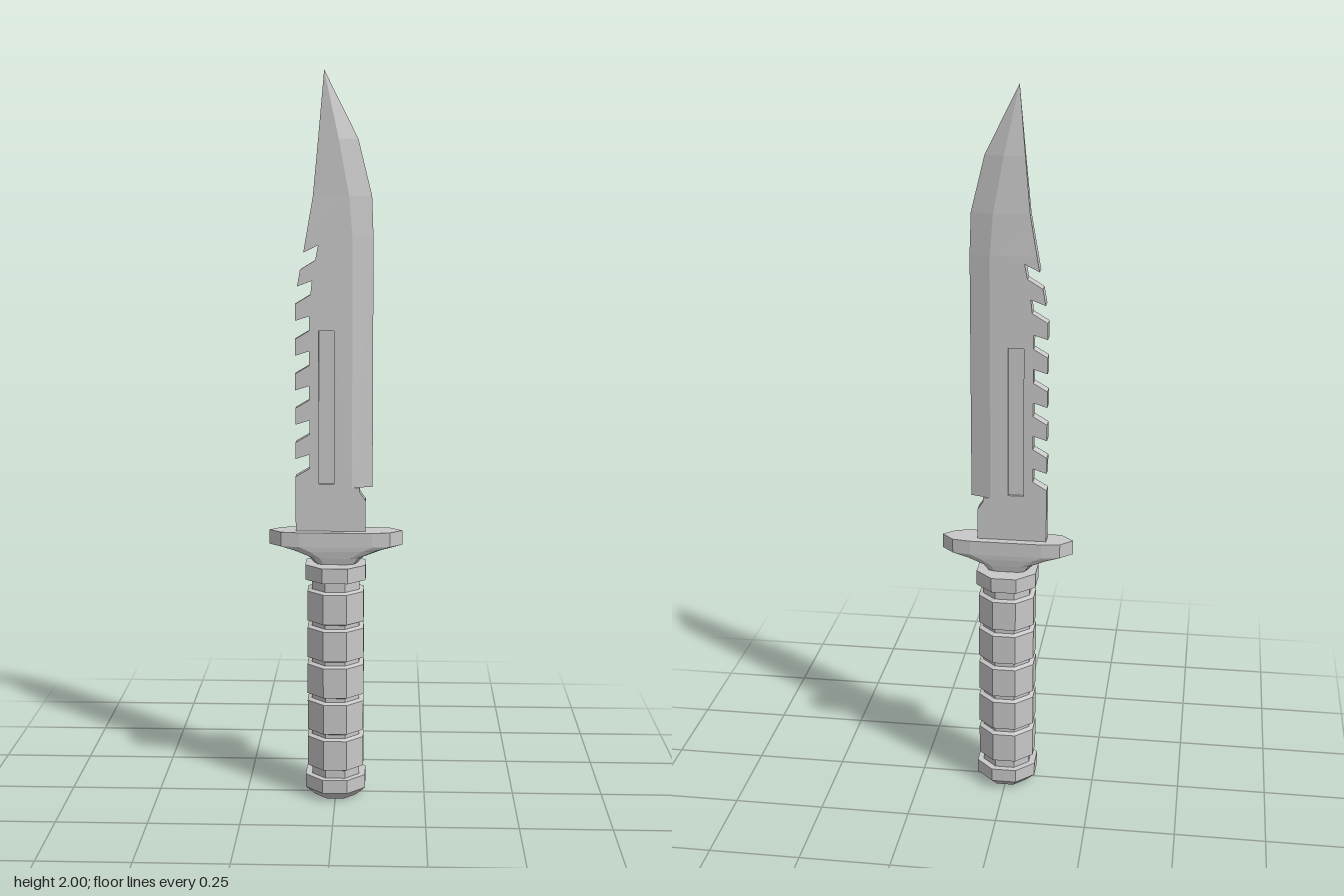
import * as THREE from 'three';

const steel = new THREE.MeshStandardMaterial({ color: 0xc8c8c8, flatShading: true });
steel.name = 'grey steel';

function part(name, geometry) {
  const mesh = new THREE.Mesh(geometry, steel);
  mesh.name = name;
  return mesh;
}

// Joins horizontal rings of [x, z] points, each at its own height, and caps both ends.
function loft(sections) {
  const pos = [], index = [];
  const n = sections[0].ring.length;
  for (const { y, ring } of sections) for (const [x, z] of ring) pos.push(x, y, z);
  for (let i = 0; i < sections.length - 1; i++) {
    for (let j = 0; j < n; j++) {
      const a = i * n + j, b = i * n + (j + 1) % n;
      index.push(a, b, b + n, a, b + n, a + n);
    }
  }
  const top = (sections.length - 1) * n;
  for (let j = 1; j < n - 1; j++) {
    index.push(0, j + 1, j);
    index.push(top, top + j, top + j + 1);
  }
  const g = new THREE.BufferGeometry();
  g.setAttribute('position', new THREE.Float32BufferAttribute(pos, 3));
  g.setIndex(index);
  const flat = g.toNonIndexed();
  flat.computeVertexNormals();
  return flat;
}

export function createModel() {
  const knife = new THREE.Group();
  knife.name = 'survivalKnife';
  const T = 0.018; // half thickness of the blade
  const ridge = 0.045; // where the cutting bevel starts

  // Grip: octagonal rings separated by grooves, with a pommel and a collar
  const grip = [[0, 0], [0.062, 0], [0.09, 0.025], [0.09, 0.063], [0.071, 0.063]];
  for (let i = 0; i < 5; i++) {
    const y = 0.09 + i * 0.1045;
    grip.push([0.071, y - 0.005], [0.084, y], [0.084, y + 0.084], [0.071, y + 0.089]);
  }
  grip.push([0.071, 0.625], [0.09, 0.625], [0.09, 0.667], [0, 0.667]);
  const handle = new THREE.LatheGeometry(grip.map(([r, y]) => new THREE.Vector2(r, y)), 8, Math.PI / 8);
  knife.add(part('handle', handle));

  // Guard: pointed plate whose underside sweeps into the handle
  const quarter = [[0.1, 0.042], [0.15, 0.034], [0.184, 0]];
  const outline = [
    ...quarter,
    [0.15, -0.034], [0.1, -0.042], [-0.1, -0.042], [-0.15, -0.034],
    [-0.184, 0], [-0.15, 0.034], [-0.1, 0.042],
  ];
  const guardLevels = [
    [0.655, 0.27, 0.7], [0.685, 0.42, 0.88], [0.705, 0.72, 0.97], [0.718, 1, 1], [0.758, 1, 1],
  ];
  knife.add(part('guard', loft(guardLevels.map(([y, sx, sz]) => ({
    y, ring: outline.map(([x, z]) => [x * sx, z * sz]),
  })))));

  // Blade body: flat slab with saw teeth along the spine
  const side = [
    [-0.11, 0.755], [0.082, 0.755], [0.082, 0.845], [0.066, 0.868], [0.066, 0.88], [ridge, 0.88],
    [ridge, 1.56], [-0.08, 1.56], [-0.087, 1.52], [-0.047, 1.54], [-0.055, 1.5],
    [-0.096, 1.475], [-0.104, 1.43], [-0.064, 1.445], [-0.068, 1.408],
  ];
  for (let i = 5; i >= 1; i--) {
    const y = 0.91 + i * 0.0945;
    side.push([-0.11, y], [-0.11, y - 0.045], [-0.072, y - 0.033], [-0.072, y - 0.072]);
  }
  side.push([-0.11, 0.91]);
  const slab = new THREE.Shape(side.map(([x, y]) => new THREE.Vector2(x, y)));
  const fuller = [[-0.046, 0.89], [-0.046, 1.31], [-0.004, 1.31], [-0.004, 0.89]];
  slab.holes.push(new THREE.Path(fuller.map(([x, y]) => new THREE.Vector2(x, y))));
  const body = new THREE.ExtrudeGeometry(slab, { depth: 2 * T, bevelEnabled: false });
  body.translate(0, 0, -T);
  knife.add(part('bladeBody', body));

  // Floor of the groove on both faces
  const floor = new THREE.BoxGeometry(0.044, 0.422, 0.02);
  floor.translate(-0.025, 1.1, 0);
  knife.add(part('fullerFloor', floor));

  // Cutting bevel
  knife.add(part('cuttingEdge', loft([0.88, 1.56].map((y) => ({
    y, ring: [[ridge, T], [0.101, 0], [ridge, -T]],
  })))));

  // Clip point: spine thins out and the ridge runs to the tip
  const clip = [ // y, spine x, spine z, ridge x, ridge z, edge x
    [1.56, -0.08, T, ridge, T, 0.101],
    [1.67, -0.061, 0.014, 0.036, T, 0.097],
    [1.82, -0.047, 0.008, 0.008, 0.015, 0.06],
    [2, -0.031, 0, -0.031, 0, -0.031],
  ];
  knife.add(part('clipPoint', loft(clip.map(([y, sx, sz, rx, rz, ex]) => ({
    y, ring: [[sx, sz], [rx, rz], [ex, 0], [rx, -rz], [sx, -sz]],
  })))));

  return knife;
}
